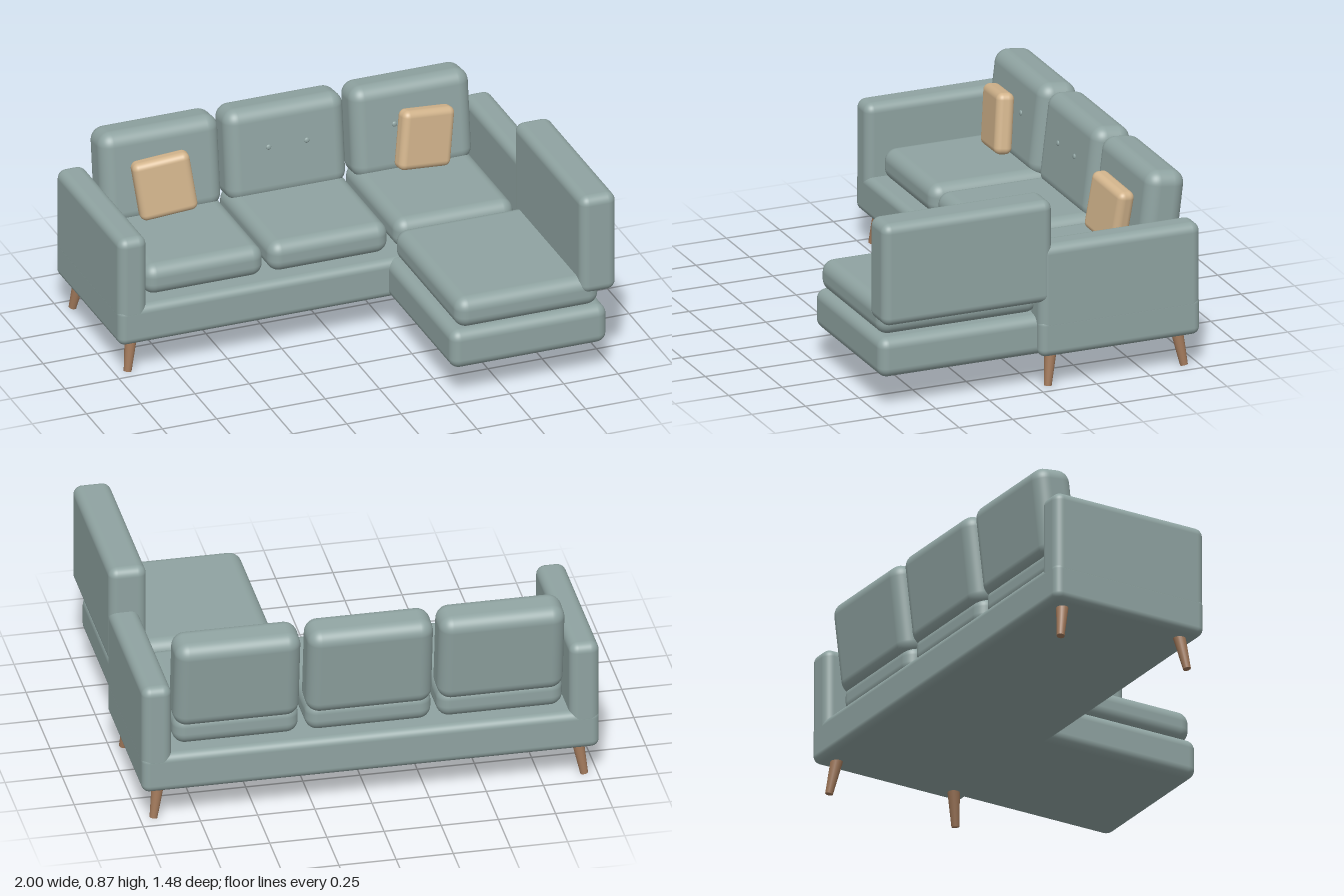
import * as THREE from 'three';
import { RoundedBoxGeometry } from 'three/addons/geometries/RoundedBoxGeometry.js';

export function createModel() {
  const model = new THREE.Group();
  model.name = 'cornerSofa';

  const material = (name, color) => {
    const m = new THREE.MeshStandardMaterial({ color });
    m.name = name;
    return m;
  };
  const fabric = material('sage fabric', 0x8fa3a1);
  const tan = material('tan fabric', 0xd2b48c);
  const wood = material('wood', 0xa0785a);

  const add = (name, geometry, mat, parent = model) => {
    const mesh = new THREE.Mesh(geometry, mat);
    mesh.name = name;
    parent.add(mesh);
    return mesh;
  };

  // Soft-edged block given by its extents on each axis
  const block = (name, [x0, x1], [y0, y1], [z0, z1], radius) => {
    const mesh = add(name, new RoundedBoxGeometry(x1 - x0, y1 - y0, z1 - z0, 5, radius), fabric);
    mesh.position.set((x0 + x1) / 2, (y0 + y1) / 2, (z0 + z1) / 2);
    return mesh;
  };

  // Main frame and its two arms
  block('mainBase', [-1, 1], [0.15, 0.33], [-0.74, 0.01], 0.035);
  block('rightArm', [-1, -0.87], [0.26, 0.66], [-0.74, 0.01], 0.04);
  block('leftArm', [0.87, 1], [0.26, 0.66], [-0.74, 0.01], 0.04);

  // Chaise section with its tall side rest
  block('chaiseBase', [0.24, 0.96], [0.15, 0.33], [-0.05, 0.74], 0.045);
  block('chaiseCushion', [0.27, 0.93], [0.332, 0.473], [-0.02, 0.73], 0.055);
  block('chaiseSideRest', [0.835, 1], [0.4, 0.865], [-0.05, 0.742], 0.04);

  // Three seats, each with a leaning, buttoned back cushion
  for (const x of [-0.58, -0.005, 0.575]) {
    block('seatCushion', [x - 0.275, x + 0.275], [0.332, 0.473], [-0.68, -0.05], 0.055);

    const back = new THREE.Group();
    back.name = 'backCushion';
    back.position.set(x, 0.64, -0.632);
    back.rotation.x = -0.12;
    model.add(back);
    add('cushionBody', new RoundedBoxGeometry(0.55, 0.42, 0.18, 6, 0.06), fabric, back);
    for (const side of [-1, 1]) {
      const button = add('button', new THREE.SphereGeometry(0.012, 14, 10), fabric, back);
      button.position.set(side * 0.088, 0.027, 0.091);
      button.scale.z = 0.5;
    }
  }

  // Mirrored throw pillows
  for (const side of [-1, 1]) {
    const pillow = add('throwPillow', new RoundedBoxGeometry(0.255, 0.27, 0.08, 5, 0.03), tan);
    pillow.position.set(side * 0.6, 0.623, -0.483);
    pillow.rotation.set(-0.09, side * 0.15, -side * 0.13);
  }

  // Tapered legs splayed towards the corners
  const up = new THREE.Vector3(0, 1, 0);
  for (const sx of [-1, 1]) {
    for (const [zTop, zFoot] of [[-0.073, -0.047], [-0.657, -0.683]]) {
      const top = new THREE.Vector3(sx * 0.915, 0.17, zTop);
      const foot = new THREE.Vector3(sx * 0.942, 0.003, zFoot);
      const axis = top.clone().sub(foot);
      const leg = add('leg', new THREE.CylinderGeometry(0.028, 0.017, axis.length(), 20), wood);
      leg.position.copy(top).add(foot).multiplyScalar(0.5);
      leg.quaternion.setFromUnitVectors(up, axis.normalize());
    }
  }

  return model;
}
